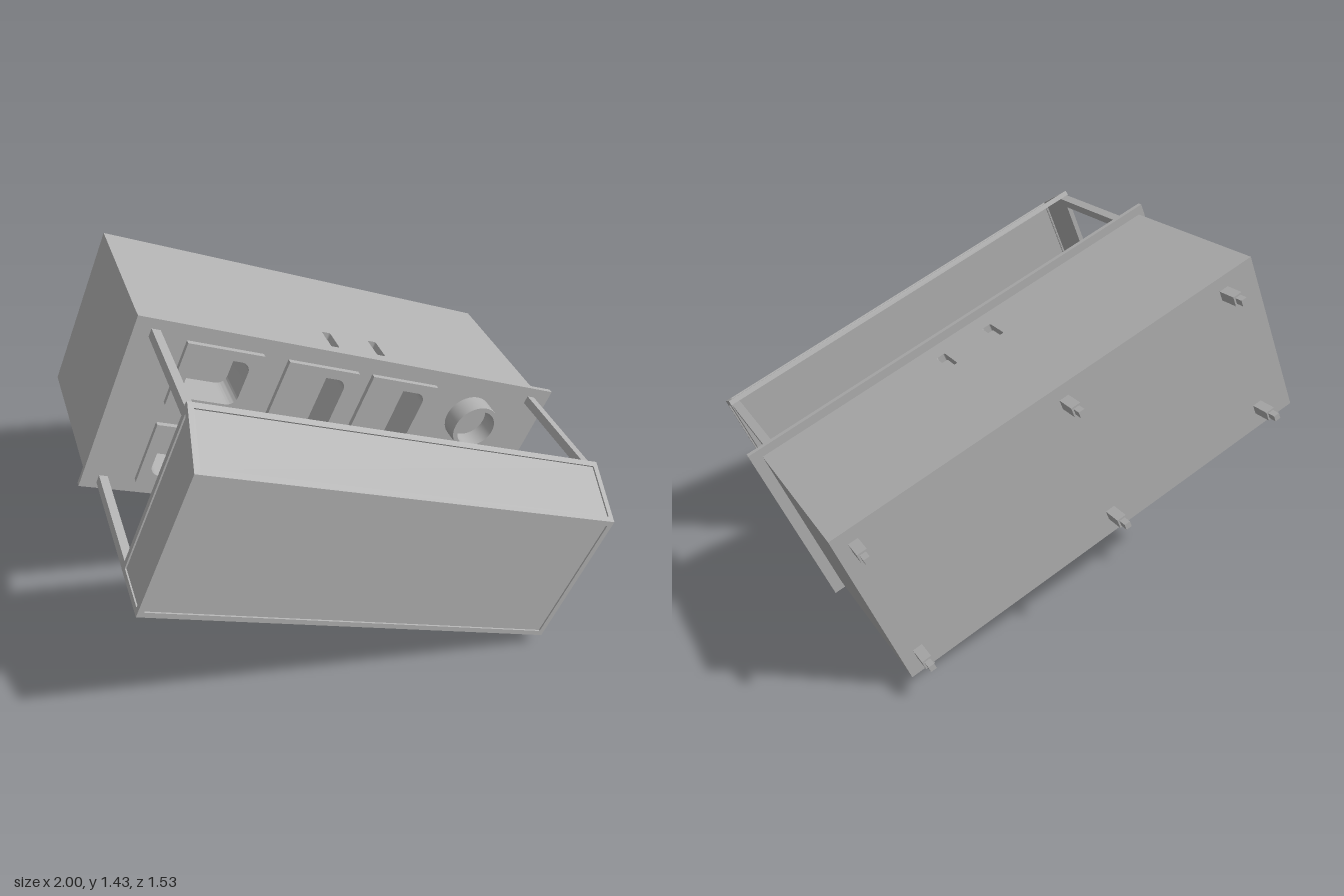
import * as THREE from 'three';
import { toCreasedNormals } from 'three/addons/utils/BufferGeometryUtils.js';

const grey = new THREE.MeshStandardMaterial({ color: 0xb2b2b2 });
grey.name = 'plain grey';

function rect(Type, x0, y0, x1, y1) {
  return new Type([[x0, y0], [x1, y0], [x1, y1], [x0, y1]].map(p => new THREE.Vector2(...p)));
}

function roundedHole(x0, y0, x1, y1, r) {
  const p = new THREE.Path();
  p.absarc(x1 - r, y1 - r, r, 0, Math.PI / 2);
  p.absarc(x0 + r, y1 - r, r, Math.PI / 2, Math.PI);
  p.absarc(x0 + r, y0 + r, r, Math.PI, Math.PI * 1.5);
  p.absarc(x1 - r, y0 + r, r, Math.PI * 1.5, Math.PI * 2);
  p.closePath();
  return p;
}

// Move every edge of a counter-clockwise convex outline inwards by d
function inset(pts, d) {
  const n = pts.length;
  return pts.map((p, i) => {
    const a = p.clone().sub(pts[(i + n - 1) % n]).normalize();
    const b = pts[(i + 1) % n].clone().sub(p).normalize();
    const k = d / a.cross(b);
    return p.clone().addScaledVector(b, k).addScaledVector(a, -k);
  });
}

function extrude(shape, z0, z1) {
  const g = new THREE.ExtrudeGeometry(shape, { depth: z1 - z0, bevelEnabled: false, curveSegments: 10 });
  return toCreasedNormals(g.translate(0, 0, z0), 0.6);
}

export function createModel() {
  const model = new THREE.Group();
  const unit = new THREE.Group();
  unit.name = 'tiltedUnit';
  unit.position.y = 0.7125;
  unit.rotation.z = -0.411;
  model.add(unit);

  const add = (name, geometry, parent = unit) => {
    const m = new THREE.Mesh(geometry, grey);
    m.name = name;
    parent.add(m);
    return m;
  };
  const box = (name, x0, x1, y0, y1, z0, z1) => add(name,
    new THREE.BoxGeometry(x1 - x0, y1 - y0, z1 - z0)
      .translate((x0 + x1) / 2, (y0 + y1) / 2, (z0 + z1) / 2));

  // Tray outlines on the panel: two small ones and two tall ones
  const trays = [
    [-0.725, 0.045, -0.42, 0.312], [-0.725, -0.312, -0.42, -0.045],
    [-0.315, -0.312, -0.01, 0.308], [0.055, -0.312, 0.36, 0.308],
  ];
  const trayHole = ([x0, y0, x1, y1]) => roundedHole(x0 + 0.04, y0 + 0.04, x1 - 0.04, y1 - 0.04, 0.04);
  const withTrayHoles = shape => {
    shape.holes.push(...trays.map(trayHole));
    return shape;
  };

  // Housing: solid rear, pierced front section, slotted lid
  const L = -0.903, R = 0.883, B = -0.344, T = 0.34, lid = 0.31;
  box('housingRear', L, R, B, lid, -0.66, -0.08);
  add('housingFront', extrude(withTrayHoles(rect(THREE.Shape, L, B, R, lid)), -0.08, 0.028));
  const top = rect(THREE.Shape, L, -0.028, R, 0.66);
  for (const x of [-0.084, 0.129]) top.holes.push(roundedHole(x - 0.019, 0.06, x + 0.019, 0.168, 0.006));
  add('housingLid', extrude(top, lid, T).rotateX(-Math.PI / 2));

  // Front panel, tray rims and round collars
  add('frontPanel', extrude(withTrayHoles(rect(THREE.Shape, -0.927, -0.3735, 0.927, 0.3735)), 0.028, 0.048));
  for (const t of trays) {
    const rim = rect(THREE.Shape, ...t);
    rim.holes.push(trayHole(t));
    add('trayRim', extrude(rim, 0.048, 0.068));
  }
  for (const y of [0.185, -0.194]) {
    const ring = new THREE.Shape().absarc(0, 0, 0.102, 0, Math.PI * 2);
    ring.holes.push(new THREE.Path().absarc(0, 0, 0.083, 0, Math.PI * 2));
    const g = new THREE.ExtrudeGeometry(ring, { depth: 0.082, bevelEnabled: false, curveSegments: 24 });
    add('roundCollar', toCreasedNormals(g, 0.6)).position.set(0.581, y, 0.048);
  }

  // Rods that carry the hood
  for (const x of [-0.848, 0.836]) {
    for (const y of [-0.331, 0.316]) {
      box('supportRod', x - 0.017, x + 0.017, y - 0.017, y + 0.017, 0.048, 0.54);
    }
  }

  // Stepped pegs on the back
  for (const x of [-0.76, -0.043, 0.814]) {
    for (const y of [-0.262, 0.271]) {
      box('pegBase', x - 0.019, x + 0.019, y - 0.019, y + 0.019, -0.735, -0.66);
      box('pegTip', x - 0.012, x + 0.012, y - 0.012, y + 0.012, -0.768, -0.735);
    }
  }

  // Hood: every face is a frame with a slightly recessed sheet; the back is open
  const hood = new THREE.Group();
  hood.name = 'hood';
  unit.add(hood);
  const x0 = -0.866, x1 = 0.857, y0 = -0.347, y1 = 0.247, y2 = 0.356, zb = 0.53, zf = 0.765;
  const d = zf - zb, w = x1 - x0, slope = Math.hypot(d, y2 - y1);
  const face = (name, points, origin, xDir, yDir) => {
    const outer = points.map(p => new THREE.Vector2(...p));
    const inner = inset(outer, 0.022);
    const frame = new THREE.Shape(outer);
    frame.holes.push(new THREE.Path(inner));
    const X = new THREE.Vector3(...xDir), Y = new THREE.Vector3(...yDir).normalize();
    const matrix = new THREE.Matrix4().makeBasis(X, Y, X.clone().cross(Y)).setPosition(...origin);
    add(name + 'Frame', extrude(frame, -0.02, 0).applyMatrix4(matrix), hood);
    add(name + 'Sheet', extrude(new THREE.Shape(inner), -0.014, -0.006).applyMatrix4(matrix), hood);
  };
  const quad = (a, b) => [[0, 0], [a, 0], [a, b], [0, b]];
  face('hoodFront', quad(w, y1 - y0), [x0, y0, zf], [1, 0, 0], [0, 1, 0]);
  face('hoodSlope', quad(w, slope), [x0, y1, zf], [1, 0, 0], [0, y2 - y1, -d]);
  face('hoodBottom', quad(w, d), [x0, y0, zb], [1, 0, 0], [0, 0, 1]);
  face('hoodLeftEnd', [[0, y0], [d, y0], [d, y2], [0, y1]], [x1, 0, zf], [0, 0, -1], [0, 1, 0]);
  face('hoodRightEnd', [[0, y0], [d, y0], [d, y1], [0, y2]], [x0, 0, zb], [0, 0, 1], [0, 1, 0]);

  return model;
}
